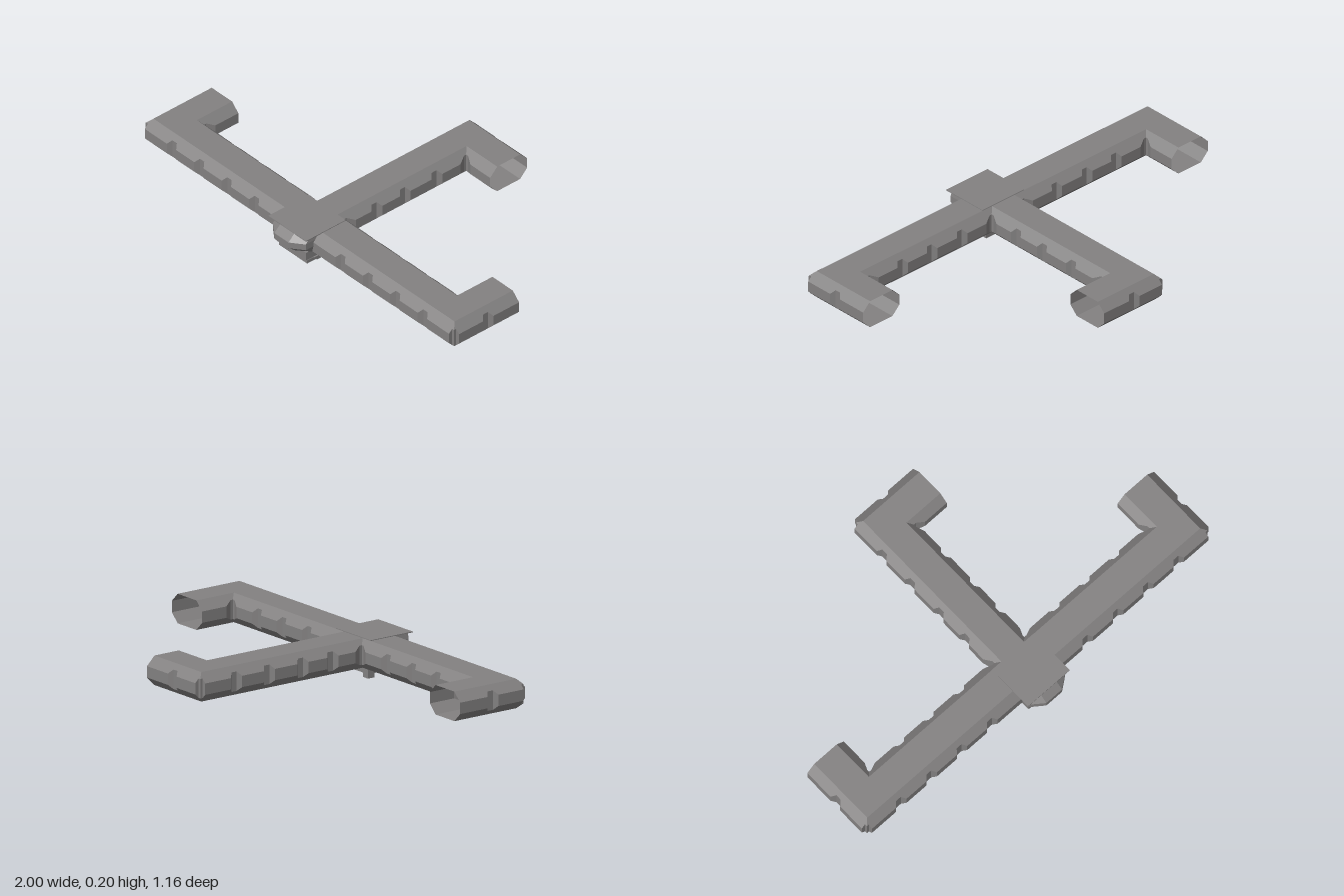
import * as THREE from 'three';
import { ConvexGeometry } from 'three/addons/geometries/ConvexGeometry.js';

const hullGrey = new THREE.MeshStandardMaterial({ color: 0x838181, side: THREE.DoubleSide, flatShading: true });
hullGrey.name = 'hullGrey';

// half of the octagonal corridor section, [distance from axis, height]
const FULL = [[0, 0.2], [0.065, 0.2], [0.105, 0.16], [0.105, 0.11], [0.065, 0.07], [0, 0.07]];
const GROOVE = [[0, 0.2], [0.065, 0.2], [0.087, 0.178], [0.087, 0.092], [0.065, 0.07], [0, 0.07]];

function mesh(name, geometry, parent, x = 0, y = 0, z = 0) {
  const m = new THREE.Mesh(geometry, hullGrey);
  m.name = name;
  m.position.set(x, y, z);
  parent.add(m);
  return m;
}

// One side of a straight corridor; ends given as { s, k }, k being the mitre slope (0 = square end)
function corridorSide(name, parent, [ax, az], [dx, dz], side, start, end, notches) {
  const stations = [];
  const add = (s, k, profile) => stations.push({ s, k, profile });
  if (start.k) {
    add(start.s, start.k, GROOVE);
    add(start.s + 0.012, start.k, GROOVE);
    add(start.s + 0.03, start.k, FULL);
  } else add(start.s, 0, FULL);
  for (const n of notches) {
    add(n - 0.03, 0, FULL);
    add(n - 0.014, 0, GROOVE);
    add(n + 0.014, 0, GROOVE);
    add(n + 0.03, 0, FULL);
  }
  if (end.k) {
    add(end.s - 0.03, end.k, FULL);
    add(end.s - 0.012, end.k, GROOVE);
    add(end.s, end.k, GROOVE);
  } else add(end.s, 0, FULL);

  const pts = stations.map(({ s, k, profile }) => profile.map(([w, y]) => {
    const t = s + k * w;
    return [ax + dx * t - dz * side * w, y, az + dz * t + dx * side * w];
  }));
  const pos = [];
  for (let i = 0; i < pts.length - 1; i++) {
    for (let j = 0; j < FULL.length - 1; j++) {
      const a = pts[i][j], b = pts[i][j + 1], c = pts[i + 1][j + 1], d = pts[i + 1][j];
      const tris = side > 0 ? [a, b, c, a, c, d] : [a, c, b, a, d, c];
      tris.forEach((p) => pos.push(...p));
    }
  }
  const g = new THREE.BufferGeometry();
  g.setAttribute('position', new THREE.Float32BufferAttribute(pos, 3));
  g.computeVertexNormals();
  return mesh(name, g, parent);
}

export function createModel() {
  const model = new THREE.Group();
  model.name = 'corridorComplex';
  const hub = [0, 0.385], east = [1, 0], back = [0, -1];

  // side wings with their end arms, mirrored
  for (const sx of [1, -1]) {
    const wing = new THREE.Group();
    wing.name = sx > 0 ? 'leftWing' : 'rightWing';
    wing.scale.x = sx;
    const corner = [0.895, 0.385];
    corridorSide('wingFrontWall', wing, hub, east, 1, { s: 0.1, k: 0 }, { s: 0.895, k: 1 }, [0.275, 0.45, 0.625, 0.8]);
    corridorSide('wingBackWall', wing, hub, east, -1, { s: 0, k: 1 }, { s: 0.895, k: -1 }, [0.275, 0.45, 0.62]);
    corridorSide('armOuterWall', wing, corner, back, 1, { s: 0, k: -1 }, { s: 0.265, k: 0 }, [0.09]);
    corridorSide('armInnerWall', wing, corner, back, -1, { s: 0, k: 1 }, { s: 0.265, k: 0 }, []);
    model.add(wing);
  }

  // rear corridor and its hooked end
  const rear = new THREE.Group();
  rear.name = 'rearCorridor';
  model.add(rear);
  const bend = [0, -0.478];
  corridorSide('rearLeftWall', rear, hub, back, 1, { s: 0, k: 1 }, { s: 0.863, k: -1 }, [0.255, 0.415, 0.595]);
  corridorSide('rearRightWall', rear, hub, back, -1, { s: 0, k: 1 }, { s: 0.863, k: 1 }, [0.255, 0.415, 0.595, 0.77]);
  corridorSide('hookInnerWall', rear, bend, east, 1, { s: 0, k: 1 }, { s: 0.26, k: 0 }, []);
  corridorSide('hookOuterWall', rear, bend, east, -1, { s: 0, k: -1 }, { s: 0.26, k: 0 }, [0.085]);

  // hub with roof plate and faceted front bay
  const centre = new THREE.Group();
  centre.name = 'hub';
  model.add(centre);
  mesh('roofPlate', new THREE.BoxGeometry(0.24, 0.004, 0.225), centre, 0, 0.201, 0.4325);
  mesh('hubFloor', new THREE.BoxGeometry(0.2, 0.004, 0.1), centre, 0, 0.072, 0.43);
  const bay = [];
  // rows: height, half width, front depth
  for (const [y, w, zf] of [[0.2, 0.1, 0.545], [0.17, 0.105, 0.578], [0.14, 0.105, 0.578], [0.11, 0.098, 0.54]]) {
    for (const s of [-1, 1]) {
      bay.push(new THREE.Vector3(s * w, y, 0.45), new THREE.Vector3(s * w, y, zf - 0.045), new THREE.Vector3(s * 0.045, y, zf));
    }
  }
  mesh('frontBay', new ConvexGeometry(bay), centre);

  // stepped base and foot
  mesh('bayStep', new THREE.BoxGeometry(0.19, 0.04, 0.08), centre, 0, 0.095, 0.482);
  mesh('lowerStep', new THREE.BoxGeometry(0.18, 0.016, 0.06), centre, 0, 0.059, 0.482);
  mesh('footPlate', new THREE.BoxGeometry(0.18, 0.025, 0.127), centre, 0, 0.0575, 0.3925);
  mesh('footPost', new THREE.BoxGeometry(0.036, 0.046, 0.036), centre, 0, 0.023, 0.402);
  return model;
}
